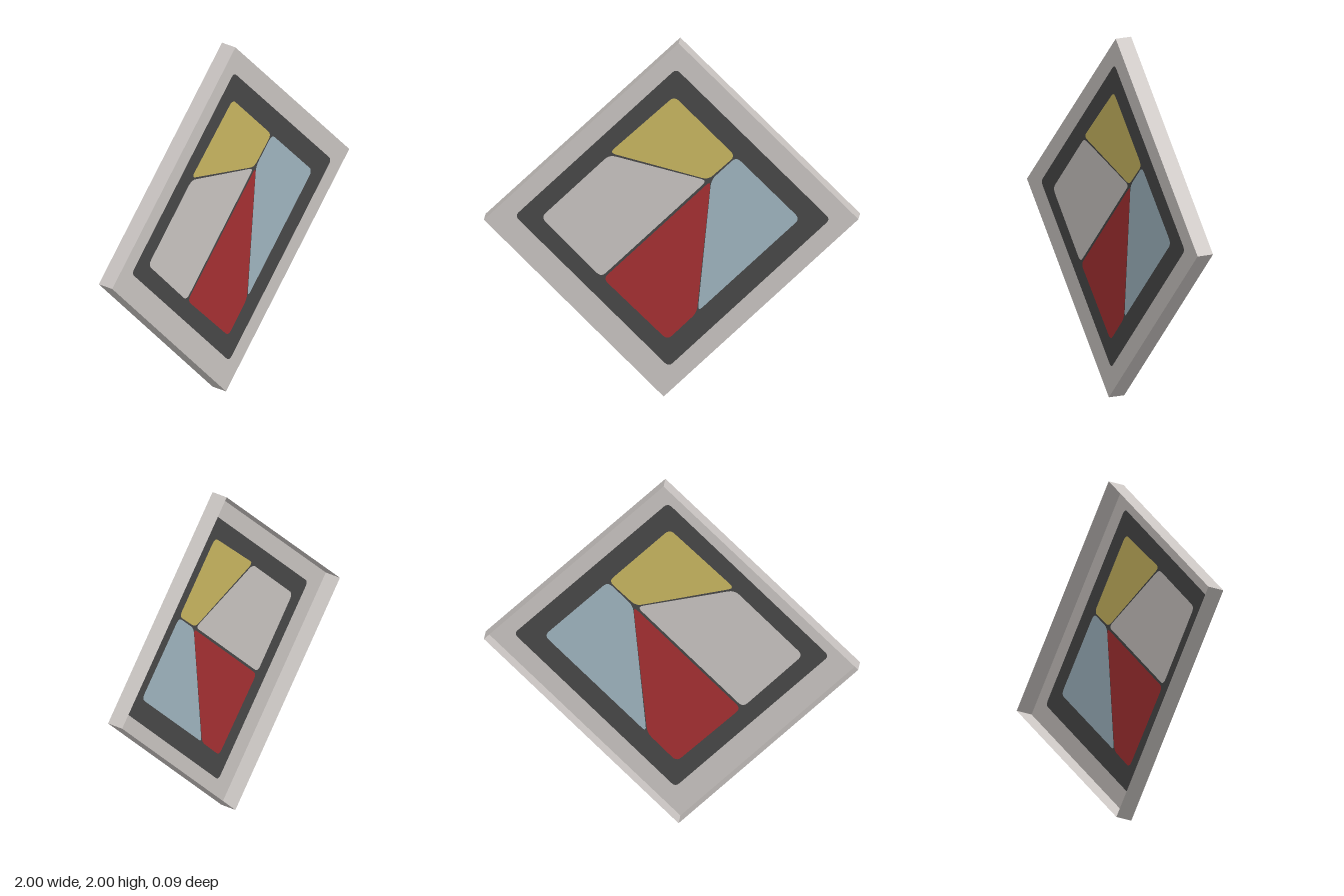
import * as THREE from 'three';

const FRONT = 0.046, DEPTH = 0.092;

function material(name, color) {
  const m = new THREE.MeshStandardMaterial({ color, side: THREE.DoubleSide });
  m.name = name;
  return m;
}

// Corner list -> closed outline with each corner rounded off
function roundedOutline(corners, radius) {
  const path = new THREE.Shape();
  const pts = corners.map(([x, y]) => new THREE.Vector2(x, y));
  pts.forEach((p, i) => {
    const prev = pts[(i + pts.length - 1) % pts.length];
    const next = pts[(i + 1) % pts.length];
    const a = p.clone().add(prev.clone().sub(p).setLength(radius));
    const b = p.clone().add(next.clone().sub(p).setLength(radius));
    if (i === 0) path.moveTo(a.x, a.y);
    else path.lineTo(a.x, a.y);
    path.quadraticCurveTo(p.x, p.y, b.x, b.y);
  });
  path.closePath();
  return path;
}

export function createModel() {
  const model = new THREE.Group();
  model.name = 'stainedPanel';
  const paleGrey = material('paleGrey', 0xc9c4c1);
  const darkGrey = material('darkGrey', 0x484848);

  const outer = [[0.04, 2], [-1, 0.965], [-0.04, 0], [1, 1.04]];
  const bandCorners = [[0.027, 1.855], [-0.835, 0.993], [-0.013, 0.17], [0.85, 1.035]];
  const panes = [
    ['yellowPane', material('yellow', 0xc9b660),
      [[0.017, 1.7], [-0.33, 1.368], [0.198, 1.235], [0.343, 1.374]]],
    ['greyPane', paleGrey,
      [[-0.33, 1.356], [-0.695, 0.99], [-0.374, 0.663], [0.193, 1.23]]],
    ['redPane', material('red', 0xa53032),
      [[0.212, 1.23], [-0.363, 0.655], [-0.02, 0.321], [0.137, 0.481]]],
    ['bluePane', material('blue', 0x9fb5c0),
      [[0.348, 1.369], [0.214, 1.235], [0.142, 0.487], [0.688, 1.032]]],
  ];

  const addFace = (name, shape, mat) => {
    const mesh = new THREE.Mesh(new THREE.ShapeGeometry(shape, 5), mat);
    mesh.name = name;
    mesh.position.z = FRONT;
    model.add(mesh);
  };

  // Pale border around the dark band
  const border = new THREE.Shape(outer.map(([x, y]) => new THREE.Vector2(x, y)));
  const band = roundedOutline(bandCorners, 0.03);
  border.holes.push(band.clone());
  addFace('border', border, paleGrey);

  // Flush coloured panes set into the dark band
  for (const [name, mat, corners] of panes) {
    const pane = roundedOutline(corners, 0.035);
    band.holes.push(pane.clone());
    addFace(name, pane, mat);
  }
  addFace('darkBand', band, darkGrey);

  // Thin side walls; the back stays open
  const walls = new THREE.Group();
  walls.name = 'sideWalls';
  outer.forEach(([x0, y0], i) => {
    const [x1, y1] = outer[(i + 1) % outer.length];
    const length = Math.hypot(x1 - x0, y1 - y0);
    const geometry = new THREE.PlaneGeometry(length, DEPTH);
    geometry.rotateX(Math.PI / 2); // normal now faces down, outward once turned
    geometry.rotateZ(Math.atan2(y1 - y0, x1 - x0));
    const wall = new THREE.Mesh(geometry, paleGrey);
    wall.name = 'sideWall';
    wall.position.set((x0 + x1) / 2, (y0 + y1) / 2, 0);
    walls.add(wall);
  });
  model.add(walls);
  return model;
}
